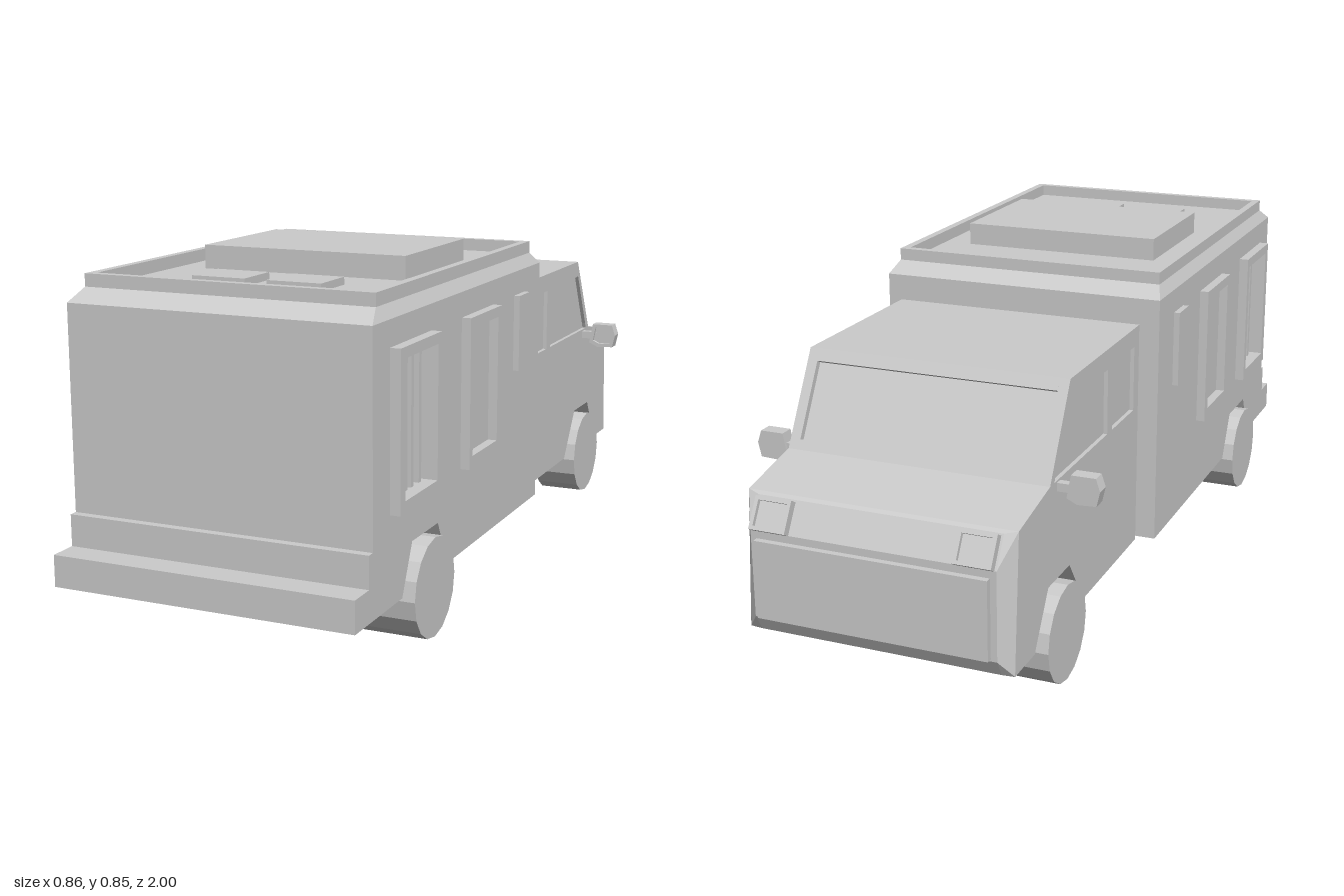
import * as THREE from 'three';
import { ConvexGeometry } from 'three/addons/geometries/ConvexGeometry.js';

const mat = new THREE.MeshStandardMaterial({ color: 0xcccccc, flatShading: true, side: THREE.DoubleSide });

export function createModel() {
  const root = new THREE.Group();

  function add(name, geo, parent = root) {
    const m = new THREE.Mesh(geo, mat);
    m.name = name;
    parent.add(m);
    return m;
  }

  // box given by its min and max on each axis
  function block(name, x0, x1, y0, y1, z0, z1) {
    const g = new THREE.BoxGeometry(x1 - x0, y1 - y0, z1 - z0);
    g.translate((x0 + x1) / 2, (y0 + y1) / 2, (z0 + z1) / 2);
    return add(name, g);
  }

  // shape from points, with optional holes
  function shape(pts, holes = []) {
    const v = (p) => p.map(([a, b]) => new THREE.Vector2(a, b));
    const s = new THREE.Shape(v(pts));
    holes.forEach((h) => s.holes.push(new THREE.Path(v(h))));
    return s;
  }

  const rect = (a0, a1, b0, b1) => [[a0, b0], [a1, b0], [a1, b1], [a0, b1]];
  const extrude = (s, depth) => new THREE.ExtrudeGeometry(s, { depth, bevelEnabled: false });

  // side profile of (z, y) points extruded from x0 to x1
  function slab(name, pts, x0, x1, holes = []) {
    const flip = (p) => p.map(([z, y]) => [-z, y]);
    const g = extrude(shape(flip(pts), holes.map(flip)), x1 - x0);
    g.rotateY(Math.PI / 2).translate(x0, 0, 0);
    return add(name, g);
  }

  // the same slab on both sides
  function slabPair(name, pts, x0, x1, holes = []) {
    slab(name + 'Left', pts, x0, x1, holes);
    slab(name + 'Right', pts, -x1, -x0, holes);
  }

  const hull = (name, pts) =>
    add(name, new ConvexGeometry(pts.map((p) => new THREE.Vector3(...p))));

  // --- rear living box: core plus side layers with arches and window wells
  const box = [[1, 0.13], [1, 0.205], [0.93, 0.205], [0.93, 0.28], [0.91, 0.28],
    [0.91, 0.76], [-0.15, 0.76], [-0.15, 0.13]];
  const rearArch = [[0.487, 0.13], [0.55, 0.245], [0.70, 0.245], [0.755, 0.13]];
  const boxArched = [...box, ...rearArch];
  const well = rect(0.615, 0.797, 0.365, 0.675);
  slab('boxCore', box, -0.2, 0.2);
  slabPair('boxInnerSide', boxArched, 0.2, 0.32);
  slabPair('boxOuterSide', boxArched, 0.32, 0.37, [well]);

  // --- roof: bevel, raised lip, hatch and vents
  const bevel = [];
  for (const s of [-1, 1]) {
    bevel.push([s * 0.37, 0.76, -0.15], [s * 0.37, 0.76, 0.91]);
    bevel.push([s * 0.355, 0.79, -0.11], [s * 0.355, 0.79, 0.86]);
  }
  hull('roofBevel', bevel);
  const lip = extrude(shape(rect(-0.355, 0.355, -0.86, 0.11), [rect(-0.335, 0.335, -0.84, 0.09)]), 0.03);
  lip.rotateX(-Math.PI / 2).translate(0, 0.79, 0);
  add('roofLip', lip);
  block('roofHatch', -0.262, 0.262, 0.785, 0.847, 0.125, 0.49);
  block('roofVentRight', -0.165, -0.03, 0.785, 0.808, 0.6, 0.717);
  block('roofVentLeft', 0.025, 0.16, 0.785, 0.808, 0.6, 0.717);

  // --- box windows
  slabPair('barredWindowFrame', rect(0.595, 0.823, 0.338, 0.7), 0.37, 0.395, [well]);
  for (const z of [0.757, 0.721, 0.687, 0.643]) {
    slabPair('windowBar', rect(z - 0.007, z + 0.007, 0.365, 0.675), 0.35, 0.364);
  }
  slabPair('sideWindowFrame', rect(0.2, 0.41, 0.338, 0.7), 0.37, 0.393,
    [rect(0.225, 0.39, 0.368, 0.675)]);
  slabPair('sideHatch', rect(-0.03, 0.047, 0.508, 0.7), 0.37, 0.385);

  // --- couplings between box and cab
  block('couplingRight', -0.165, -0.025, 0.15, 0.255, -0.18, -0.14);
  block('couplingLeft', 0.02, 0.16, 0.15, 0.255, -0.18, -0.14);

  // --- cab: recessed windshield in the core, frames and windows in the side layers
  const frontArch = [[-0.85, 0.13], [-0.77, 0.255], [-0.64, 0.255], [-0.55, 0.13]];
  const nose = [[-0.76, 0.49], [-0.935, 0.455], [-0.96, 0.13]];
  const roof = [[-0.17, 0.13], [-0.17, 0.7], [-0.64, 0.7]];
  const glass = [[-0.655, 0.674], [-0.642, 0.667], [-0.735, 0.504], [-0.748, 0.511]];
  const cabCore = [...roof, ...glass, ...nose];
  const cabSide = [...roof, ...nose, ...frontArch];
  const rearPane = rect(-0.36, -0.205, 0.49, 0.653);
  const frontPane = [[-0.395, 0.49], [-0.735, 0.49], [-0.728, 0.505], [-0.645, 0.657], [-0.395, 0.65]];
  slab('cabCore', cabCore, -0.2, 0.2);
  slabPair('cabInnerSide', [...cabCore, ...frontArch], 0.2, 0.3);
  slabPair('cabPillar', cabSide, 0.3, 0.315);
  slabPair('cabOuterSide', cabSide, 0.315, 0.325, [rearPane, frontPane]);

  // --- nose with bevelled corners
  const nosePts = [];
  for (const s of [-1, 1]) {
    nosePts.push([s * 0.325, 0.455, -0.935], [s * 0.325, 0.13, -0.96]);
    nosePts.push([s * 0.295, 0.38, -0.985], [s * 0.295, 0.17, -0.985]);
    nosePts.push([s * 0.295, 0.13, -0.963], [s * 0.295, 0.449, -0.944]);
  }
  hull('nose', nosePts);
  block('grille', -0.28, 0.28, 0.175, 0.362, -1, -0.98);

  // --- headlights on the sloped upper nose
  for (const s of [-1, 1]) {
    const light = new THREE.Group();
    light.name = s > 0 ? 'headlightLeft' : 'headlightRight';
    add('headlightFrame', extrude(shape(rect(-0.045, 0.045, -0.038, 0.038),
      [rect(-0.036, 0.036, -0.029, 0.029)]), 0.022), light);
    add('headlightLens', extrude(shape(rect(-0.036, 0.036, -0.029, 0.029)), 0.012), light);
    light.rotation.set(-0.53, Math.PI, 0, 'YXZ');
    light.position.set(s * 0.245, 0.411, -0.964);
    root.add(light);
  }

  // --- wing mirrors, glass facing the rear
  for (const s of [-1, 1]) {
    const side = s > 0 ? 'Left' : 'Right';
    const outline = [[0.35, 0.455], [0.36, 0.51], [0.418, 0.51], [0.428, 0.48], [0.42, 0.445], [0.375, 0.443]];
    const inner = outline.map(([x, y]) => [0.39 + (x - 0.39) * 0.72, 0.478 + (y - 0.478) * 0.72]);
    const m = (p) => p.map(([x, y]) => [s * x, y]);
    add('mirrorRim' + side, extrude(shape(m(outline), [m(inner)]), 0.036).translate(0, 0, -0.727));
    add('mirrorGlass' + side, extrude(shape(m(inner)), 0.026).translate(0, 0, -0.727));
    const arm = new THREE.BoxGeometry(0.06, 0.02, 0.02);
    add('mirrorArm' + side, arm.translate(s * 0.345, 0.475, -0.71));
  }

  // --- wheels
  for (const [name, z, x0, x1] of [['rearWheel', 0.625, 0.225, 0.395], ['frontWheel', -0.702, 0.225, 0.345]]) {
    for (const s of [-1, 1]) {
      const g = new THREE.CylinderGeometry(0.118, 0.118, x1 - x0, 16);
      g.rotateZ(Math.PI / 2).translate(s * (x0 + x1) / 2, 0.118, z);
      add(name + (s > 0 ? 'Left' : 'Right'), g);
    }
  }

  return root;
}
